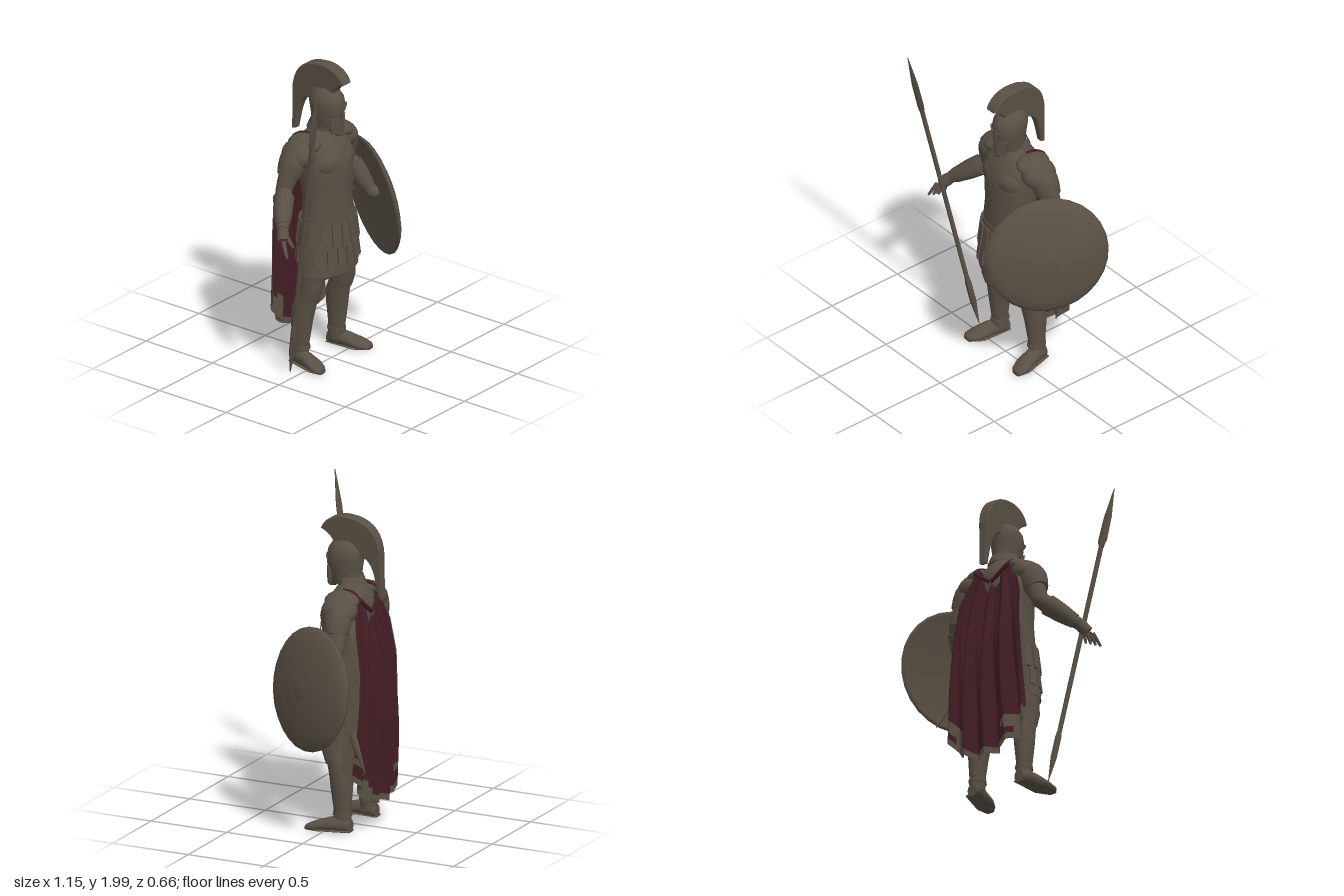
import * as THREE from 'three';
import { toCreasedNormals } from 'three/addons/utils/BufferGeometryUtils.js';

const V = (x, y, z) => new THREE.Vector3(x, y, z);

// Skin through elliptical rings [x, y, z, rx, rz], all square to one direction
function loft(rings, dir = V(0, 1, 0), seg = 18) {
  const d = dir.clone().normalize();
  const u = V(1, 0, 0).addScaledVector(d, -d.x).normalize();
  const w = u.clone().cross(d);
  const pos = [], idx = [];
  for (const [x, y, z, rx, rz] of rings) {
    for (let i = 0; i < seg; i++) {
      const a = (i / seg) * Math.PI * 2;
      const p = V(x, y, z).addScaledVector(u, Math.cos(a) * rx).addScaledVector(w, Math.sin(a) * rz);
      pos.push(p.x, p.y, p.z);
    }
  }
  const last = (rings.length - 1) * seg, c0 = rings.length * seg;
  pos.push(...rings[0].slice(0, 3), ...rings[rings.length - 1].slice(0, 3));
  for (let i = 0; i < seg; i++) {
    const j = (i + 1) % seg;
    for (let r = 0; r < last; r += seg) idx.push(r + i, r + seg + i, r + j, r + j, r + seg + i, r + seg + j);
    idx.push(c0, i, j, c0 + 1, last + j, last + i);
  }
  const g = new THREE.BufferGeometry();
  g.setAttribute('position', new THREE.Float32BufferAttribute(pos, 3));
  g.setIndex(idx);
  return toCreasedNormals(g, 0.8);
}

// Tapered limb between two points through evenly spaced radii
function limb(a, b, radii, seg = 14) {
  const rings = radii.map((r, i) => [...a.clone().lerp(b, i / (radii.length - 1)).toArray(), r, r]);
  return loft(rings, b.clone().sub(a), seg);
}

const TORSO = [
  [0, 0.88, -0.03, 0.18, 0.135], [0, 0.97, -0.03, 0.178, 0.134], [0, 1.08, -0.035, 0.172, 0.13],
  [0, 1.18, -0.04, 0.176, 0.14], [0, 1.3, -0.05, 0.19, 0.15], [0, 1.39, -0.065, 0.185, 0.135],
  [0, 1.45, -0.075, 0.14, 0.1], [0, 1.495, -0.07, 0.065, 0.065],
];

// Point on the front of the torso
function chestPoint(x, y, lift) {
  let i = 0;
  while (i < TORSO.length - 2 && TORSO[i + 1][1] < y) i++;
  const t = (y - TORSO[i][1]) / (TORSO[i + 1][1] - TORSO[i][1]);
  const [cz, rx, rz] = [2, 3, 4].map(k => THREE.MathUtils.lerp(TORSO[i][k], TORSO[i + 1][k], t));
  const s = Math.min(0.98, Math.abs(x) / rx);
  return V(x, y, cz + (rz + lift) * Math.sqrt(1 - s * s));
}

// Cloak sheet with folds; the border goes to a second material group
function cloakGeometry() {
  const cols = 56, rows = 30, pos = [], cloth = [], trim = [];
  const curve = (pts, v) => {
    const f = v * (pts.length - 1), i = Math.min(pts.length - 2, Math.floor(f));
    return THREE.MathUtils.lerp(pts[i], pts[i + 1], f - i);
  };
  for (let r = 0; r <= rows; r++) {
    const v = r / rows;
    for (let c = 0; c <= cols; c++) {
      const u = (c / cols) * 2 - 1, e = Math.abs(u);
      const top = 1.34 + 0.11 * Math.min(1, e * 1.5);
      const hem = 0.185 + 0.23 * Math.pow(e, 2.8) + 0.006 * Math.sin(u * 19);
      const amp = 0.008 + 0.042 * Math.min(1, v * 1.4);
      const fold = amp * (0.75 * Math.cos(u * 14 + 0.6) + 0.3 * Math.cos(u * 26 + v * 3));
      const z = curve([-0.185, -0.235, -0.27, -0.275, -0.272, -0.268], v);
      const curl = (0.04 + 0.05 * v) * e ** 4;
      pos.push(u * curve([0.15, 0.235, 0.255, 0.27, 0.29, 0.305], v), top + (hem - top) * v, z - fold + curl);
      if (r < rows && c < cols) {
        const a = r * (cols + 1) + c, b = a + cols + 1;
        const corner = r > rows - 5 && e > 0.45 && Math.sin(u * 9 + r) > 0;
        const edge = c < 2 || c >= cols - 2 || r === rows - 1 || corner;
        (edge ? trim : cloth).push(a, a + 1, b, a + 1, b + 1, b);
      }
    }
  }
  const g = new THREE.BufferGeometry();
  g.setAttribute('position', new THREE.Float32BufferAttribute(pos, 3));
  g.setIndex([...cloth, ...trim]);
  g.addGroup(0, cloth.length, 0);
  g.addGroup(cloth.length, trim.length, 1);
  g.computeVertexNormals();
  return g;
}

export function createModel() {
  const model = new THREE.Group();
  const bronze = new THREE.MeshStandardMaterial({ color: 0x595045 });
  bronze.name = 'dull bronze';
  const red = new THREE.MeshStandardMaterial({ color: 0x421d24 });
  red.name = 'dark red cloth';
  bronze.side = red.side = THREE.DoubleSide;
  const add = (name, geo, mat = bronze, parent = model) => {
    const m = new THREE.Mesh(geo, mat);
    m.name = name;
    parent.add(m);
    return m;
  };
  const ball = (name, p, s) => {
    const m = add(name, new THREE.SphereGeometry(1, 18, 12));
    m.position.set(...p);
    m.scale.set(...s);
    return m;
  };
  const box = (name, p, s, rot) => {
    const m = add(name, new THREE.BoxGeometry(...s));
    m.position.set(...p);
    m.rotation.set(...rot);
    return m;
  };

  // Cuirass, belt and tunic
  add('cuirass', loft(TORSO, undefined, 28));
  add('belt', loft([[0, 0.91, -0.03, 0.186, 0.142], [0, 0.965, -0.03, 0.184, 0.14]], undefined, 28));
  add('tunic', loft([[0, 0.6, -0.03, 0.22, 0.15], [0, 0.72, -0.03, 0.207, 0.147], [0, 0.92, -0.03, 0.175, 0.13]], undefined, 28));
  for (const s of [-1, 1]) ball('chestMuscle', [s * 0.078, 1.3, 0.035], [0.09, 0.075, 0.055]).rotation.y = s * 0.4;

  // Two layers of hanging skirt strips
  for (const [count, len, out] of [[18, 0.27, 0.0], [18, 0.15, 0.01]]) {
    for (let i = 0; i < count; i++) {
      const a = ((i + (out ? 0.5 : 0)) / count) * Math.PI * 2;
      const holder = new THREE.Group();
      holder.name = 'skirtStrip';
      holder.position.set(Math.sin(a) * (0.178 + out), 0.935, -0.03 + Math.cos(a) * (0.137 + out));
      holder.rotation.set(-0.12, Math.atan2(Math.sin(a) * 0.137, Math.cos(a) * 0.178), 0, 'YXZ');
      model.add(holder);
      add('strip', new THREE.BoxGeometry(0.042, len, 0.016), bronze, holder).position.y = -len / 2;
    }
  }

  // Strap across the chest
  const strap = [], strapIdx = [];
  for (let i = 0; i <= 16; i++) {
    const t = i / 16, x = -0.08 + 0.25 * t, y = 1.43 - 0.42 * t;
    strap.push(...chestPoint(x - 0.012, y - 0.008, 0.014).toArray(), ...chestPoint(x + 0.012, y + 0.008, 0.014).toArray());
    if (i) strapIdx.push(2 * i - 2, 2 * i, 2 * i - 1, 2 * i - 1, 2 * i, 2 * i + 1);
  }
  const strapGeo = new THREE.BufferGeometry();
  strapGeo.setAttribute('position', new THREE.Float32BufferAttribute(strap, 3));
  strapGeo.setIndex(strapIdx);
  strapGeo.computeVertexNormals();
  add('chestStrap', strapGeo);

  // Head and closed helmet
  add('neck', loft([[0, 1.44, -0.07, 0.075, 0.075], [0, 1.56, -0.05, 0.065, 0.07]]));
  add('beard', loft([[0, 1.465, 0.055, 0.018, 0.024], [0, 1.5, 0.035, 0.045, 0.05], [0, 1.58, 0.01, 0.06, 0.062]]));
  add('helmet', loft([
    [0, 1.515, -0.045, 0.074, 0.1], [0, 1.55, -0.035, 0.078, 0.1], [0, 1.6, -0.032, 0.087, 0.108], [0, 1.66, -0.034, 0.092, 0.116],
    [0, 1.7, -0.036, 0.086, 0.11], [0, 1.74, -0.036, 0.062, 0.084], [0, 1.768, -0.036, 0.02, 0.03],
  ], undefined, 24));
  box('noseGuard', [0, 1.6, 0.076], [0.018, 0.12, 0.02], [0.08, 0, 0]);
  for (const s of [-1, 1]) {
    box('browRidge', [s * 0.034, 1.645, 0.068], [0.065, 0.016, 0.02], [0, s * 0.5, s * 0.2]);
    box('cheekGuard', [s * 0.041, 1.535, 0.056], [0.05, 0.1, 0.016], [0.05, s * 0.65, s * -0.12]);
  }
  const neckGuard = add('neckGuard', new THREE.CylinderGeometry(0.085, 0.105, 0.05, 18, 1, true, Math.PI / 2, Math.PI));
  neckGuard.position.set(0, 1.52, -0.055);

  // Crest, drawn in profile and extruded sideways
  const crest = new THREE.Shape();
  crest.moveTo(0.11, 1.815);
  crest.bezierCurveTo(0.08, 1.885, 0, 1.905, -0.06, 1.9);
  crest.bezierCurveTo(-0.2, 1.895, -0.28, 1.8, -0.27, 1.64);
  crest.lineTo(-0.28, 1.43);
  crest.lineTo(-0.262, 1.435);
  crest.bezierCurveTo(-0.24, 1.55, -0.23, 1.62, -0.18, 1.66);
  crest.lineTo(-0.1, 1.68);
  crest.lineTo(0.02, 1.72);
  crest.bezierCurveTo(0.04, 1.77, 0.06, 1.79, 0.11, 1.815);
  const crestGeo = new THREE.ExtrudeGeometry(crest, { depth: 0.05, bevelSize: 0.006, bevelThickness: 0.01, bevelSegments: 1, curveSegments: 10 });
  crestGeo.translate(0, 0, -0.025).rotateY(-Math.PI / 2);
  // Flare the crest towards its top edge
  const cp = crestGeo.attributes.position;
  for (let i = 0; i < cp.count; i++) cp.setX(i, cp.getX(i) * THREE.MathUtils.mapLinear(cp.getY(i), 1.43, 1.9, 0.65, 1.2));
  crestGeo.computeVertexNormals();
  add('crest', crestGeo);

  // Shoulders, arms and legs on both sides
  for (const s of [-1, 1]) {
    ball('shoulderGuard', [s * 0.195, 1.375, -0.09], [0.1, 0.08, 0.112]).rotation.z = s * -0.55;
    ball('shoulderPlate', [s * 0.15, 1.425, -0.085], [0.085, 0.05, 0.11]).rotation.z = s * -0.3;
    add('sleeve', limb(V(s * 0.21, 1.39, -0.095), V(s * 0.272, 1.25, -0.11), [0.07, 0.086, 0.082, 0.07]));
    const elbow = V(s * 0.3, 1.17, -0.12);
    const wrist = s < 0 ? V(-0.485, 1.015, 0.015) : V(0.36, 0.98, 0.0);
    add('upperArm', limb(V(s * 0.25, 1.29, -0.11), elbow, [0.06, 0.058, 0.05]));
    ball('elbow', elbow.toArray(), [0.05, 0.05, 0.05]);
    add('forearm', limb(elbow, wrist, [0.048, 0.058, 0.048, 0.036]));
    add('bracer', limb(elbow.clone().lerp(wrist, 0.2), elbow.clone().lerp(wrist, 0.9), [0.064, 0.058, 0.044]));

    add('leg', loft([
      [s * 0.168, 0.06, -0.1, 0.044, 0.052], [s * 0.17, 0.15, -0.097, 0.045, 0.055], [s * 0.167, 0.28, -0.092, 0.056, 0.07],
      [s * 0.16, 0.37, -0.083, 0.062, 0.076], [s * 0.155, 0.46, -0.055, 0.06, 0.068], [s * 0.15, 0.53, -0.035, 0.064, 0.075],
      [s * 0.13, 0.66, -0.03, 0.082, 0.1],
    ]));
    add('greaveKnee', loft([[s * 0.158, 0.42, -0.04, 0.05, 0.055], [s * 0.157, 0.5, -0.025, 0.058, 0.066], [s * 0.155, 0.56, -0.02, 0.05, 0.066]]));
    add('greaveRim', loft([[s * 0.169, 0.11, -0.097, 0.05, 0.06], [s * 0.169, 0.13, -0.097, 0.049, 0.059]]));
    add('foot', loft([
      [s * 0.17, 0.05, -0.153, 0.032, 0.04], [s * 0.174, 0.057, -0.12, 0.047, 0.047], [s * 0.19, 0.055, -0.04, 0.05, 0.045],
      [s * 0.208, 0.042, 0.04, 0.057, 0.033], [s * 0.222, 0.032, 0.09, 0.047, 0.022], [s * 0.226, 0.028, 0.112, 0.025, 0.014],
    ], V(0, 0, 1)));
    add('sole', loft([[s * 0.175, 0.02, -0.155, 0.04, 0.008], [s * 0.207, 0.02, 0.04, 0.062, 0.008], [s * 0.225, 0.02, 0.11, 0.03, 0.008]], V(0, 0, 1)));
  }

  // Open right hand, closed left hand behind the shield
  const palmEnd = V(-0.525, 0.965, 0.055);
  add('rightPalm', limb(V(-0.48, 1.02, 0.01), palmEnd, [0.032, 0.038, 0.034], 10));
  for (let i = 0; i < 4; i++) {
    const k = i - 1.5;
    const base = palmEnd.clone().add(V(k * 0.014, k * 0.004, k * -0.012));
    add('finger', limb(base, base.clone().add(V(-0.015 + k * 0.006, -0.075, 0.03 + k * -0.01)), [0.013, 0.012, 0.008], 6));
  }
  add('thumb', limb(V(-0.495, 1.0, 0.04), V(-0.505, 0.93, 0.115), [0.014, 0.013, 0.008], 6));
  ball('leftFist', [0.365, 0.96, 0.02], [0.042, 0.042, 0.048]);

  // Round domed shield
  const shield = add('shield', new THREE.LatheGeometry([
    [0, 0], [0.25, -0.008], [0.35, -0.032], [0.37, -0.03], [0.371, -0.02], [0.345, 0.002],
    [0.29, 0.022], [0.2, 0.04], [0.12, 0.048], [0.105, 0.053], [0.07, 0.051], [0.045, 0.058], [0, 0.06],
  ].map(p => new THREE.Vector2(...p)), 28));
  shield.position.set(0.405, 0.932, 0.012);
  shield.quaternion.setFromUnitVectors(V(0, 1, 0), V(0.88, 0.15, 0.46).normalize());

  // Spear with leaf blade and butt spike
  const butt = V(-0.318, 0.01, -0.06), tip = V(-0.53, 1.995, 0.31);
  const onSpear = (t, a, b) => [...butt.clone().lerp(tip, t).toArray(), a, b];
  const spearDir = tip.clone().sub(butt);
  add('spearShaft', loft([onSpear(0.1, 0.014, 0.014), onSpear(0.85, 0.014, 0.014)], spearDir, 8));
  add('spearBlade', loft([onSpear(0.8, 0.016, 0.016), onSpear(0.82, 0.034, 0.014), onSpear(0.9, 0.03, 0.014), onSpear(1, 0.002, 0.002)], spearDir, 6));
  add('spearButt', loft([onSpear(0, 0.002, 0.002), onSpear(0.08, 0.022, 0.018), onSpear(0.15, 0.022, 0.018), onSpear(0.17, 0.014, 0.014)], spearDir, 6));

  // Sheathed sword on the left hip
  const hilt = V(0.19, 1.0, -0.02), point = V(0.31, 0.43, -0.32);
  const onSword = (t, a, b) => [...hilt.clone().lerp(point, t).toArray(), a, b];
  const swordDir = point.clone().sub(hilt);
  add('scabbard', loft([onSword(0.12, 0.014, 0.03), onSword(0.7, 0.012, 0.028), onSword(1, 0.002, 0.003)], swordDir, 8));
  add('swordGuard', loft([onSword(0.09, 0.022, 0.05), onSword(0.12, 0.022, 0.05)], swordDir, 8));
  add('swordGrip', loft([onSword(-0.08, 0.022, 0.022), onSword(-0.04, 0.014, 0.014), onSword(0.1, 0.014, 0.014)], swordDir, 8));

  // Cloak with shoulder bands and gathered neckline
  add('cloak', cloakGeometry(), [red, bronze]);
  for (const s of [-1, 1]) {
    const band = new THREE.CatmullRomCurve3([V(s * 0.1, 1.47, -0.07), V(s * 0.112, 1.47, -0.13), V(s * 0.12, 1.43, -0.19), V(0, 1.335, -0.2)]);
    add('cloakBand', new THREE.TubeGeometry(band, 16, 0.013, 8), red);
  }
  return model;
}
